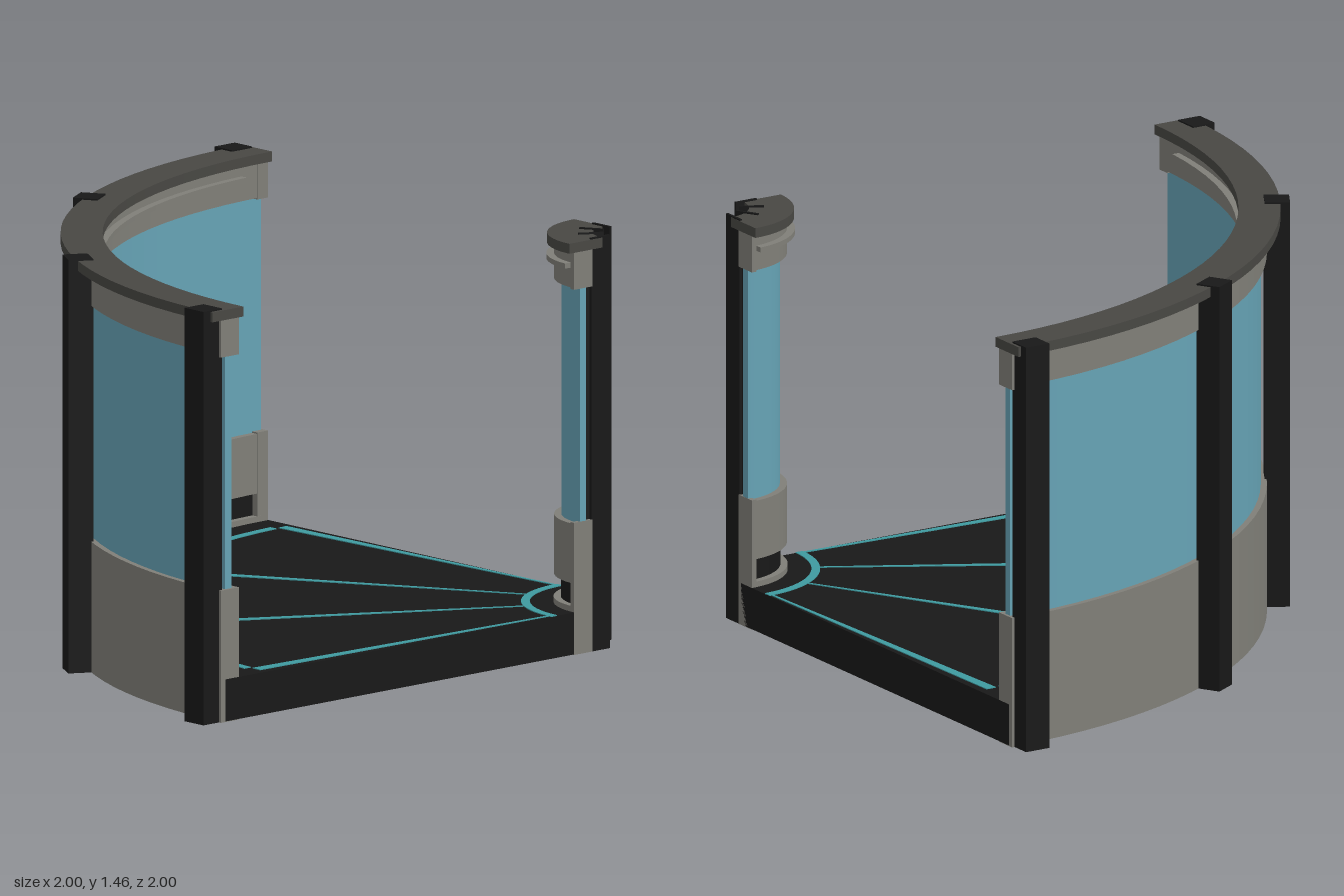
import * as THREE from 'three';

const rad = THREE.MathUtils.degToRad;
const mat = (color) => new THREE.MeshStandardMaterial({ color, flatShading: true });

export function createModel() {
  const model = new THREE.Group();
  model.name = 'curvedCorridorSection';
  const grey = mat(0x807f78), darkGrey = mat(0x484743), black = mat(0x181818);
  const glass = mat(0x66a3b5), teal = mat(0x3f9aa0);

  // Everything turns about the corner (1, 1); angles run from -x (0) to -z (90)
  const pivot = new THREE.Group();
  pivot.name = 'section';
  pivot.position.set(1, 0, 1);
  model.add(pivot);

  // Solid ring sector between two radii, two heights and two angles
  function sector(name, material, r0, r1, y0, y1, a0 = 0, a1 = 90) {
    const s = new THREE.Shape();
    const t0 = Math.PI - rad(a0), t1 = Math.PI - rad(a1);
    s.absarc(0, 0, r1, t0, t1, true);
    s.absarc(0, 0, r0, t1, t0, false);
    s.closePath();
    const geo = new THREE.ExtrudeGeometry(s, {
      depth: y1 - y0,
      bevelEnabled: false,
      curveSegments: Math.max(1, Math.round((a1 - a0) / 6)),
    });
    geo.rotateX(-Math.PI / 2).translate(0, y0, 0);
    const mesh = new THREE.Mesh(geo, material);
    mesh.name = name;
    pivot.add(mesh);
  }

  // Upright post at an angle, shifted sideways along the wall
  function post(name, r0, r1, width, angle, shift) {
    const geo = new THREE.BoxGeometry(r1 - r0, 1.455, width);
    geo.translate(-(r0 + r1) / 2, 0.7275, -shift);
    const mesh = new THREE.Mesh(geo, black);
    mesh.name = name;
    mesh.rotation.y = -rad(angle);
    pivot.add(mesh);
  }

  // Floor slab with inlaid light lines
  sector('floor', black, 0.2, 1.905, 0.002, 0.15);
  sector('floorLightOuterArc', teal, 1.71, 1.74, 0.149, 0.153, 2.8, 87.2);
  sector('floorLightInnerArc', teal, 0.35, 0.38, 0.149, 0.153);
  for (const [a, b] of [[1, 2.3], [29.4, 30.6], [59.4, 60.6], [87.7, 89]])
    sector('floorLightSpoke', teal, 0.38, 1.715, 0.149, 0.153, a, b);

  // A wall is a stack of sectors; "room" is its radius facing the room and
  // "dir" points from there to the back of the wall
  function wall(prefix, room, dir, bracketAngle, rim) {
    const part = (name, material, d0, d1, y0, y1, a0 = 0.3, a1 = 89.7) => {
      const p = room + dir * d0, q = room + dir * d1;
      sector(prefix + name, material, Math.min(p, q), Math.max(p, q), y0, y1, a0, a1);
    };
    part('Skirt', grey, 0.035, 0.078, 0, 0.46);
    part('LowerPanel', grey, 0.002, 0.035, 0.25, 0.46);
    part('KickRecess', black, 0.025, 0.036, 0.14, 0.25);
    part('Curb', grey, 0, 0.025, 0.15, 0.17);
    part('Window', glass, 0.027, 0.057, 0.46, 1.29);
    part('UpperPanel', grey, 0.002, 0.078, 1.29, 1.415);
    part('Rail', grey, -0.025, 0.002, 1.36, 1.378, 4, 86);
    sector(prefix + 'Rim', darkGrey, rim[0], rim[1], 1.415, 1.45);
    // End brackets
    for (const [a, b] of [[0, bracketAngle], [90 - bracketAngle, 90]]) {
      part('LowerBracket', grey, 0, 0.085, 0, 0.465, a, b);
      part('UpperBracket', grey, 0, 0.085, 1.285, 1.415, a, b);
    }
  }
  wall('outerWall', 1.84, 1, 1.6, [1.82, 1.965]);
  wall('innerColumn', 0.268, -1, 4, [0.135, 0.29]);

  // Posts on the back of both walls; the end ones sit just inside the section
  [0, 30, 60, 90].forEach((angle, i) => {
    const side = i === 0 ? 1 : i === 3 ? -1 : 0;
    post('outerPost', 1.91, 1.998, 0.095, angle, side * 0.058);
    post('innerPost', 0.1, 0.187, 0.01, angle, side * 0.006);
  });

  return model;
}
